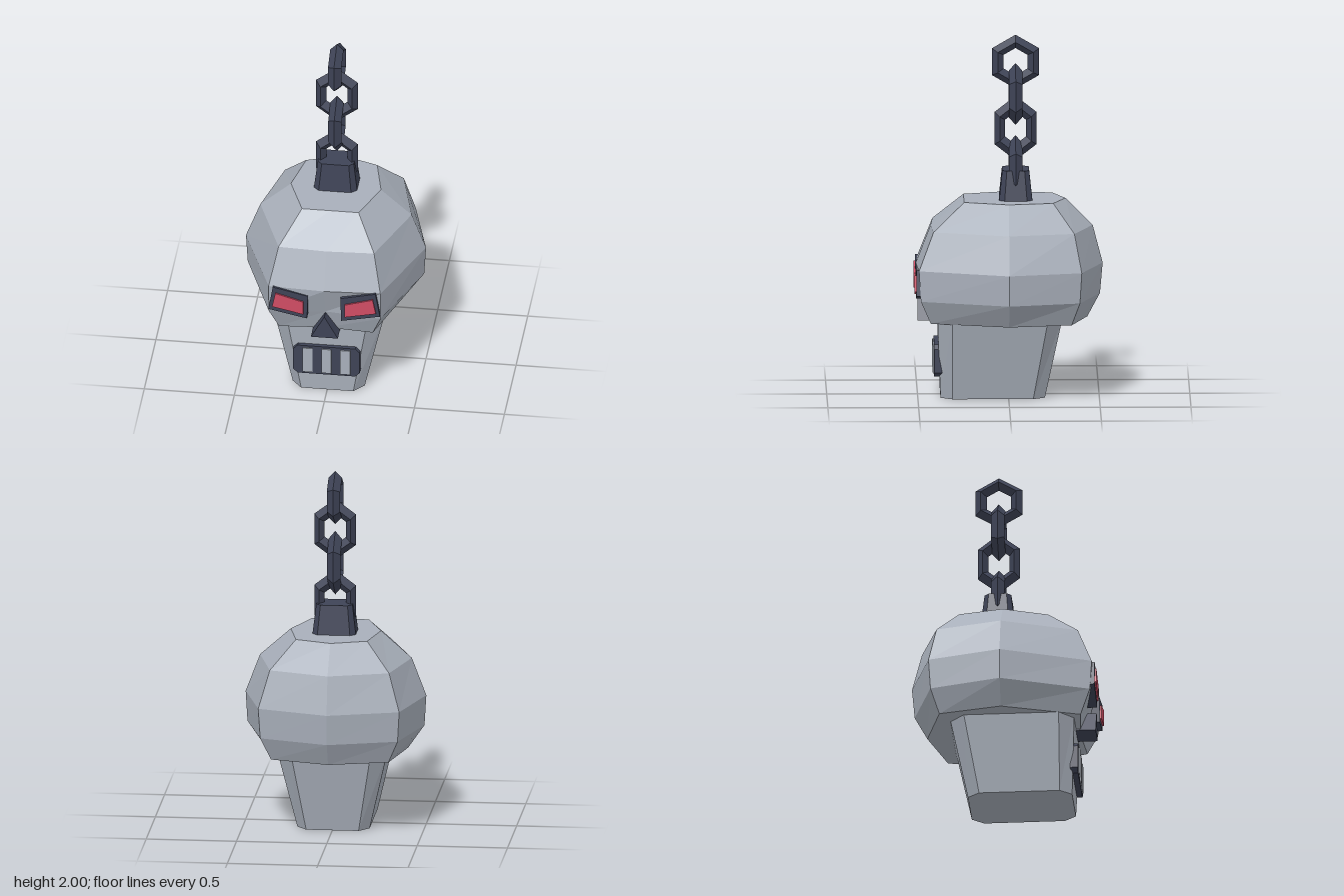
import * as THREE from 'three';

const mat = (name, color) => {
  const m = new THREE.MeshStandardMaterial({ color });
  m.name = name;
  return m;
};

// Turns a right half outline [x, z] (front to back) into a closed ring.
const mirrorRing = (half) => [
  ...half,
  ...half.filter(([x]) => x > 0).reverse().map(([x, z]) => [-x, z]),
];

// Half outline of a box with chamfered corners.
const chamfered = (x, front, back, cx, cz) => [
  [x - cx, front], [x, front - cz], [x, back + cz], [x - cx, back],
];

// Faceted solid through horizontal sections, lowest first: [y, halfOutline].
function loft(sections) {
  const rings = sections.map(([y, half]) => mirrorRing(half).map(([x, z]) => [x, y, z]));
  const n = rings[0].length;
  const pos = [];
  const tri = (a, b, c) => pos.push(...a, ...b, ...c);
  for (let r = 0; r < rings.length - 1; r++) {
    for (let i = 0; i < n; i++) {
      const j = (i + 1) % n;
      tri(rings[r][i], rings[r][j], rings[r + 1][j]);
      tri(rings[r][i], rings[r + 1][j], rings[r + 1][i]);
    }
  }
  const low = rings[0], top = rings[rings.length - 1];
  for (let i = 0; i < n; i++) {
    const j = (i + 1) % n;
    tri([0, low[0][1], 0], low[j], low[i]);
    tri([0, top[0][1], 0], top[i], top[j]);
  }
  const g = new THREE.BufferGeometry();
  g.setAttribute('position', new THREE.Float32BufferAttribute(pos, 3));
  g.computeVertexNormals();
  return g;
}

// Flat plate with an outline in x, y between two depths.
function plate(points, z0, z1) {
  const shape = new THREE.Shape(points.map(([x, y]) => new THREE.Vector2(x, y)));
  return new THREE.ExtrudeGeometry(shape, { depth: z1 - z0, bevelEnabled: false }).translate(0, 0, z0);
}

export function createModel() {
  const model = new THREE.Group();
  model.name = 'skullOnChain';
  const bone = mat('boneGrey', 0xa8afba);
  const iron = mat('darkIron', 0x3e4356);
  const red = mat('eyeRed', 0xd04c64);
  const add = (name, geometry, material) => {
    const mesh = new THREE.Mesh(geometry, material);
    mesh.name = name;
    model.add(mesh);
    return mesh;
  };

  // Cranium, with the middle of the face drawn in below the brow
  add('cranium', loft([
    [0.43, [[0, 0.41], [0.26, 0.43], [0.4, 0], [0.325, -0.345], [0, -0.435]]],
    [0.56, [[0, 0.45], [0.31, 0.485], [0.49, 0], [0.38, -0.39], [0, -0.505]]],
    [0.73, [[0, 0.51], [0.31, 0.495], [0.5, 0], [0.39, -0.4], [0, -0.52]]],
    [0.94, [[0, 0.428], [0.265, 0.415], [0.42, 0], [0.33, -0.36], [0, -0.465]]],
    [1.09, [[0, 0.245], [0.157, 0.245], [0.25, 0], [0.197, -0.245], [0, -0.315]]],
  ]), bone);

  // Tapered jaw
  add('jaw', loft([
    [0, chamfered(0.2, 0.375, -0.2, 0.055, 0.065)],
    [0.45, chamfered(0.305, 0.392, -0.295, 0.085, 0.08)],
  ]), bone);

  // Slanted eyes: iron frame with a glowing plate
  for (const side of [1, -1]) {
    const mirror = (pts) => pts.map(([x, y]) => [x * side, y]);
    const name = side > 0 ? 'left' : 'right';
    add(name + 'EyeFrame', plate(mirror([
      [0.285, 0.735], [0.09, 0.69], [0.095, 0.545], [0.31, 0.59],
    ]), 0.43, 0.51), iron);
    add(name + 'Eye', plate(mirror([
      [0.27, 0.7], [0.115, 0.655], [0.115, 0.575], [0.288, 0.612],
    ]), 0.51, 0.519), red);
  }

  // Triangular nose
  add('nose', plate([[-0.075, 0.42], [0.075, 0.42], [0, 0.555]], 0.38, 0.5), iron);

  // Mouth plate and teeth
  add('mouth', plate([
    [-0.16, 0.12], [0.16, 0.12], [0.185, 0.145], [0.185, 0.275],
    [0.16, 0.3], [-0.16, 0.3], [-0.185, 0.275], [-0.185, 0.145],
  ], 0.365, 0.41), iron);
  for (const x of [-0.105, 0, 0.105]) {
    add('tooth', new THREE.BoxGeometry(0.055, 0.155, 0.008).translate(x, 0.21, 0.413), bone);
  }

  // Cap that anchors the chain
  add('chainCap', loft([
    [1.08, chamfered(0.121, 0.052, -0.133, 0.03, 0.03)],
    [1.255, chamfered(0.1, 0.034, -0.114, 0.025, 0.025)],
  ]), iron);

  // Hexagonal links, alternating by a quarter turn
  const links = [
    [1.265, 0.89, 1.17], [1.48, 0.89, 1.2], [1.67, 0.89, 1.15], [1.85, 1, 1],
  ];
  links.forEach(([y, sx, sy], i) => {
    const g = new THREE.TorusGeometry(0.113, 0.037, 4, 6)
      .rotateZ(Math.PI / 2).scale(sx, sy, 1)
      .rotateY(i % 2 ? Math.PI / 2 : 0)
      .translate(0, y, -0.04).toNonIndexed();
    g.computeVertexNormals();
    add('chainLink', g, iron);
  });

  return model;
}
